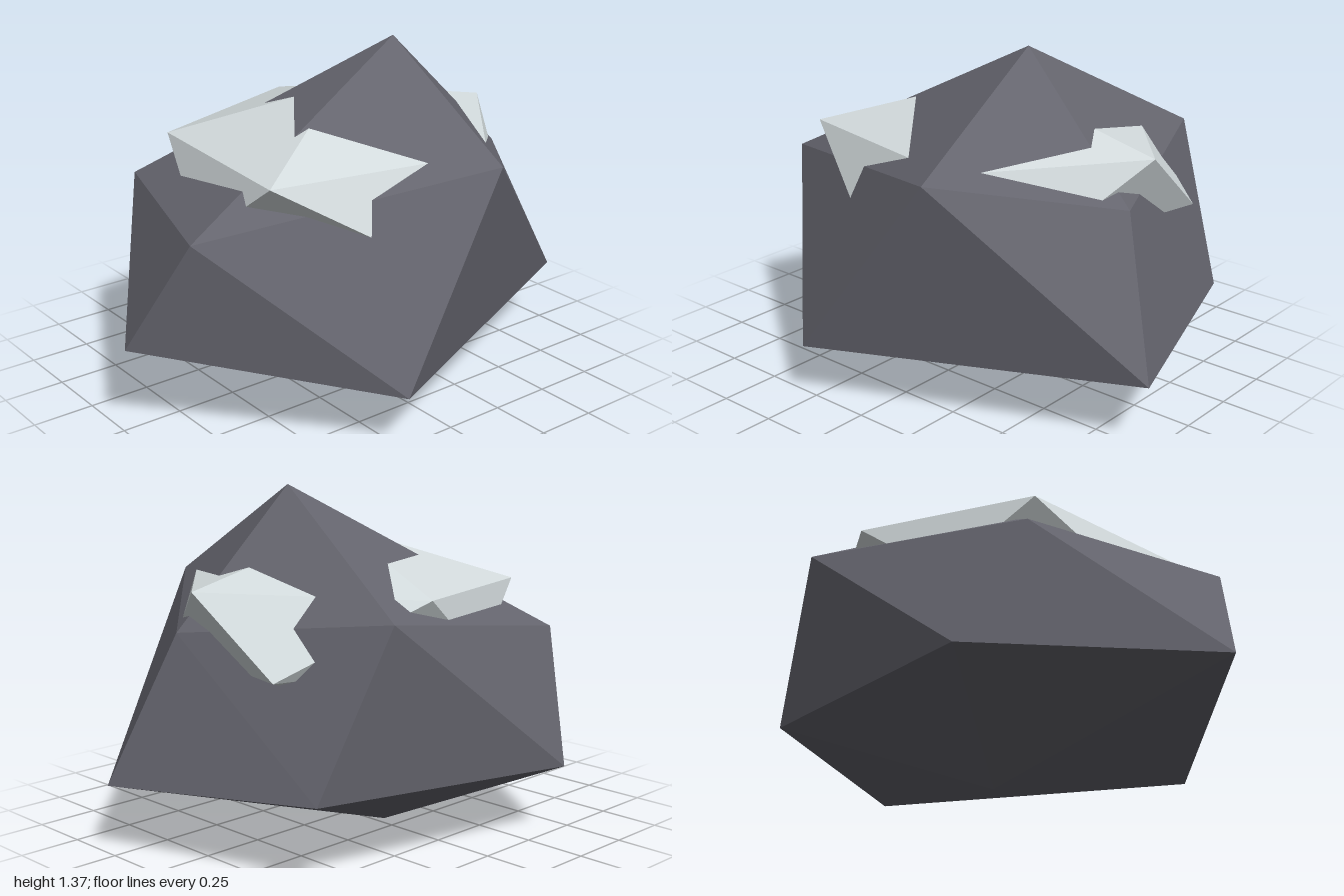
import * as THREE from 'three';

// Irregular twenty-sided lump: top point, upper ring of five, lower ring of five, bottom point.
// Rings run clockwise from above; lower[i] sits between upper[i] and upper[i + 1].
function lump(name, material, top, upper, lower, bottom) {
  const pos = [];
  const tri = (a, b, c) => pos.push(...a, ...b, ...c);
  for (let i = 0; i < 5; i++) {
    const j = (i + 1) % 5;
    tri(top, upper[j], upper[i]);
    tri(upper[i], upper[j], lower[i]);
    tri(upper[j], lower[j], lower[i]);
    tri(bottom, lower[i], lower[j]);
  }
  const geometry = new THREE.BufferGeometry();
  geometry.setAttribute('position', new THREE.Float32BufferAttribute(pos, 3));
  geometry.computeVertexNormals(); // unshared corners give flat facets
  const mesh = new THREE.Mesh(geometry, material);
  mesh.name = name;
  return mesh;
}

export function createModel() {
  const rockGrey = new THREE.MeshStandardMaterial({ color: 0x65656e, flatShading: true });
  rockGrey.name = 'rock grey';
  const paleGrey = new THREE.MeshStandardMaterial({ color: 0xd4dcde, flatShading: true });
  paleGrey.name = 'pale grey';

  const group = new THREE.Group();
  group.name = 'boulder';

  // Main dark boulder
  group.add(lump('rock', rockGrey,
    [0.26, 1.37, 0.07],
    [[0.28, 0.98, 0.69], [-0.83, 0.8, 0.25], [-0.56, 0.79, -0.59], [0.47, 0.95, -0.7], [0.78, 0.85, 0.12]],
    [[-0.26, 0.23, 0.8], [-1, 0.355, 0.04], [-0.4, 0.28, -0.8], [0.73, 0.32, -0.58], [1, 0.27, 0.28]],
    [-0.04, 0, -0.17]));

  // Flattened pale lump whose corners break through the boulder's shoulders
  group.add(lump('snowCap', paleGrey,
    [0.03, 1.19, 0],
    [[0.31, 1, 0.575], [-0.57, 0.99, 0.38], [-0.48, 0.98, -0.45], [0.23, 1.0, -0.66], [0.8, 1.02, 0]],
    [[-0.08, 0.68, 0.62], [-0.63, 0.7, 0], [-0.14, 0.72, -0.58], [0.74, 0.73, -0.37], [0.58, 0.73, 0.4]],
    [0.1, 0.52, 0]));

  return group;
}
